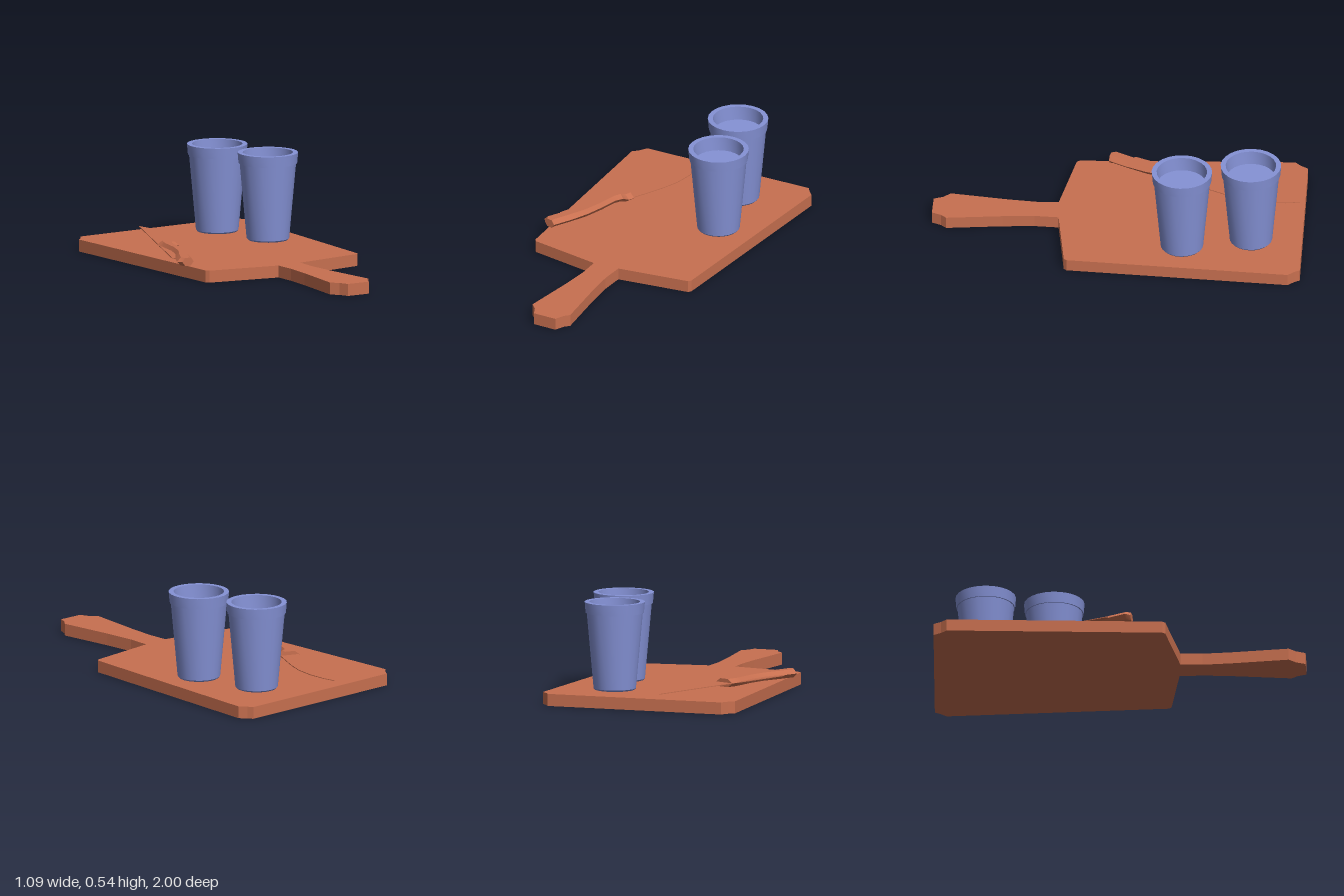
import * as THREE from 'three';
import { toCreasedNormals } from 'three/addons/utils/BufferGeometryUtils.js';

const wood = new THREE.MeshStandardMaterial({ color: 0xc87050 });
const blue = new THREE.MeshStandardMaterial({ color: 0x8592d6 });
const BOARD_TOP = 0.065;

function part(name, geometry, material) {
  const mesh = new THREE.Mesh(geometry, material);
  mesh.name = name;
  return mesh;
}

// Flat slab from an (x, z) outline, with its upper face at height top
function slab(outline, thickness, top) {
  const shape = new THREE.Shape(outline.map(([x, z]) => new THREE.Vector2(x, z)));
  const geometry = new THREE.ExtrudeGeometry(shape, { depth: thickness, bevelEnabled: false });
  return geometry.rotateX(Math.PI / 2).translate(0, top, 0);
}

// Tapered cup with a raised rim band and a shallow recess at the top
function createCup(name, x, z) {
  const profile = [
    [0, 0.067], [0.107, 0.067], [0.114, 0.075], [0.151, 0.482], [0.157, 0.482],
    [0.162, 0.54], [0.135, 0.54], [0.13, 0.465], [0, 0.465],
  ].map(([r, y]) => new THREE.Vector2(r, y));
  const geometry = toCreasedNormals(new THREE.LatheGeometry(profile, 24), 0.45);
  const cup = part(name, geometry, blue);
  cup.position.set(x, 0, z);
  return cup;
}

// Bevelled knife grip lofted through [leftX, leftZ, rightX, rightZ] stations
function gripGeometry(stations) {
  const mid = 0.088, half = 0.022, inset = 0.25;
  const section = [[0, 0], [inset, half], [1 - inset, half], [1, 0], [1 - inset, -half], [inset, -half]];
  const n = section.length;
  const positions = [], index = [];
  for (const [lx, lz, rx, rz] of stations) {
    for (const [t, h] of section) {
      positions.push(lx + (rx - lx) * t, mid + h, lz + (rz - lz) * t);
    }
  }
  for (let i = 0; i < stations.length - 1; i++) {
    for (let k = 0; k < n; k++) {
      const a = i * n + k, b = i * n + (k + 1) % n;
      index.push(a, a + n, b, b, a + n, b + n);
    }
  }
  // End caps
  const last = (stations.length - 1) * n;
  for (let k = 1; k < n - 1; k++) {
    index.push(0, k, k + 1, last, last + k + 1, last + k);
  }
  const geometry = new THREE.BufferGeometry();
  geometry.setAttribute('position', new THREE.Float32BufferAttribute(positions, 3));
  geometry.setIndex(index);
  geometry.computeVertexNormals();
  return toCreasedNormals(geometry, 0.5);
}

function createKnife() {
  const knife = new THREE.Group();
  knife.name = 'knife';

  // Thin blade, with its tang running back into the grip
  const blade = [
    [-0.13, -0.955], [-0.117, -0.88], [-0.114, -0.78], [-0.13, -0.67], [-0.165, -0.57],
    [-0.25, -0.385], [-0.33, -0.36], [-0.40, -0.12], [-0.485, -0.03], [-0.497, -0.05],
  ];
  knife.add(part('knifeBlade', slab(blade, 0.004, 0.09), wood));

  const grip = [
    [-0.347, -0.435, -0.24, -0.395],
    [-0.358, -0.405, -0.252, -0.362],
    [-0.36, -0.38, -0.285, -0.357],
    [-0.367, -0.34, -0.308, -0.32],
    [-0.387, -0.23, -0.33, -0.22],
    [-0.425, -0.13, -0.36, -0.11],
    [-0.485, -0.04, -0.40, -0.01],
    [-0.533, 0.053, -0.44, 0.07],
    [-0.515, 0.08, -0.452, 0.092],
  ];
  knife.add(part('knifeGrip', gripGeometry(grip), wood));
  return knife;
}

export function createModel() {
  const model = new THREE.Group();
  model.name = 'cuttingBoardSet';

  // Slightly crooked paddle board with clipped corners
  const outline = [
    [-0.49, -0.972], [0.49, -1], [0.507, -0.973], [0.54, -0.938],
    [0.485, 0.25], [0.472, 0.265], [0.077, 0.322], [0.073, 0.45], [0.088, 0.62],
    [0.126, 0.92], [0.1, 0.95], [0.08, 1], [-0.053, 1], [-0.075, 0.95], [-0.111, 0.912],
    [-0.075, 0.6], [-0.064, 0.45], [-0.068, 0.332], [-0.463, 0.265], [-0.476, 0.25],
    [-0.545, -0.9], [-0.515, -0.93],
  ];
  model.add(part('cuttingBoard', slab(outline, BOARD_TOP, BOARD_TOP), wood));

  model.add(createCup('backCup', 0.215, -0.718));
  model.add(createCup('frontCup', 0.304, -0.355));
  model.add(createKnife());
  return model;
}
